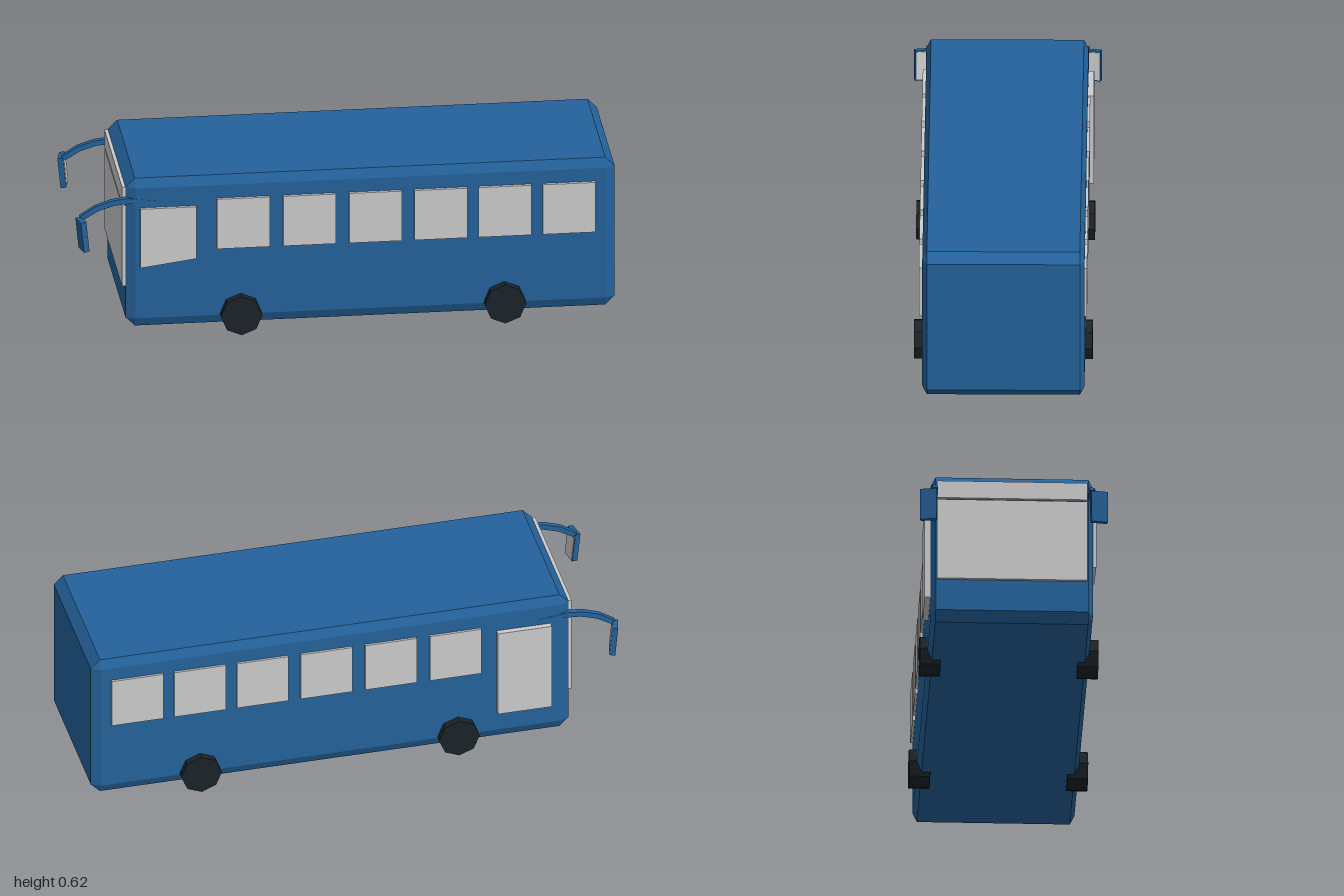
import * as THREE from 'three';
import { ConvexGeometry } from 'three/addons/geometries/ConvexGeometry.js';

const paint = new THREE.MeshStandardMaterial({ color: 0x24629b, flatShading: true });
const glass = new THREE.MeshStandardMaterial({ color: 0xcccccc, flatShading: true });
const rubber = new THREE.MeshStandardMaterial({ color: 0x1b2328, flatShading: true });

function add(parent, name, geometry, material, x = 0, y = 0, z = 0) {
  const mesh = new THREE.Mesh(geometry, material);
  mesh.name = name;
  mesh.position.set(x, y, z);
  parent.add(mesh);
  return mesh;
}

// Box given by its limits on each axis
function slab(parent, name, material, [x0, x1], [y0, y1], [z0, z1]) {
  return add(parent, name, new THREE.BoxGeometry(x1 - x0, y1 - y0, z1 - z0), material,
    (x0 + x1) / 2, (y0 + y1) / 2, (z0 + z1) / 2);
}

// Box with every edge and corner cut, with its own cut size per axis
function chamferedBox(w, h, d, cx, cy, cz) {
  const points = [];
  for (const i of [-1, 1]) for (const j of [-1, 1]) for (const k of [-1, 1]) {
    const x = w / 2, y = h / 2, z = d / 2;
    points.push(
      new THREE.Vector3(i * x, j * (y - cy), k * (z - cz)),
      new THREE.Vector3(i * (x - cx), j * y, k * (z - cz)),
      new THREE.Vector3(i * (x - cx), j * (y - cy), k * z));
  }
  return new ConvexGeometry(points);
}

// Flat curved arm swept along the side
function mirrorArm() {
  const top = [[-0.7, 0.537], [-0.81, 0.552], [-0.87, 0.545], [-0.93, 0.525], [-0.99, 0.487]];
  const bottom = [[-0.975, 0.474], [-0.92, 0.507], [-0.86, 0.526], [-0.8, 0.531], [-0.7, 0.524]];
  const shape = new THREE.Shape([...top, ...bottom].map(([x, y]) => new THREE.Vector2(x, y)));
  const geometry = new THREE.ExtrudeGeometry(shape, { depth: 0.02, bevelEnabled: false });
  return geometry.translate(0, 0, -0.01);
}

export function createModel() {
  const bus = new THREE.Group();
  bus.name = 'bus';

  add(bus, 'body', chamferedBox(1.815, 0.588, 0.598, 0.035, 0.035, 0.017), paint, 0.09, 0.331, 0);

  // Windscreen and sign panel on the driving end
  slab(bus, 'windscreen', glass, [-0.83, -0.8], [0.195, 0.515], [-0.278, 0.278]);
  slab(bus, 'signPanel', glass, [-0.83, -0.8], [0.522, 0.59], [-0.278, 0.278]);

  for (const side of [1, -1]) {
    // Passenger windows
    const outer = side > 0 ? 0.312 : 0.308;
    for (const x of [-0.383, -0.137, 0.108, 0.35, 0.588, 0.826]) {
      const z = [side * 0.28, side * outer].sort((a, b) => a - b);
      slab(bus, 'sideWindow', glass, [x - 0.098, x + 0.098], [0.34, 0.538], z);
    }

    // Wheels
    for (const x of [-0.392, 0.587]) {
      const wheel = add(bus, 'wheel', new THREE.CylinderGeometry(0.077, 0.077, 0.077, 8),
        rubber, x, 0.077, side > 0 ? 0.294 : -0.288);
      wheel.rotation.x = Math.PI / 2;
    }

    // Mirror on its arm, turned outward
    add(bus, 'mirrorArm', mirrorArm(), paint, 0, 0, side * 0.29);
    const mirror = new THREE.Group();
    mirror.name = 'mirror';
    mirror.position.set(-0.981, 0.422, side * 0.314);
    mirror.rotation.set(side * -0.03, side * 0.22, 0.1);
    add(mirror, 'mirrorHousing', new THREE.BoxGeometry(0.021, 0.118, 0.062), paint);
    add(mirror, 'mirrorGlass', new THREE.BoxGeometry(0.003, 0.108, 0.053), glass, 0.011);
    bus.add(mirror);
  }

  // Driver window with a sloping lower edge
  const driver = new THREE.Shape([[-0.765, 0.277], [-0.558, 0.305], [-0.558, 0.512], [-0.765, 0.512]]
    .map(([x, y]) => new THREE.Vector2(x, y)));
  add(bus, 'driverWindow', new THREE.ExtrudeGeometry(driver, { depth: 0.032, bevelEnabled: false }),
    glass, 0, 0, 0.28);

  // Passenger door on the other side
  slab(bus, 'door', glass, [-0.745, -0.54], [0.155, 0.515], [-0.32, -0.28]);

  return bus;
}
